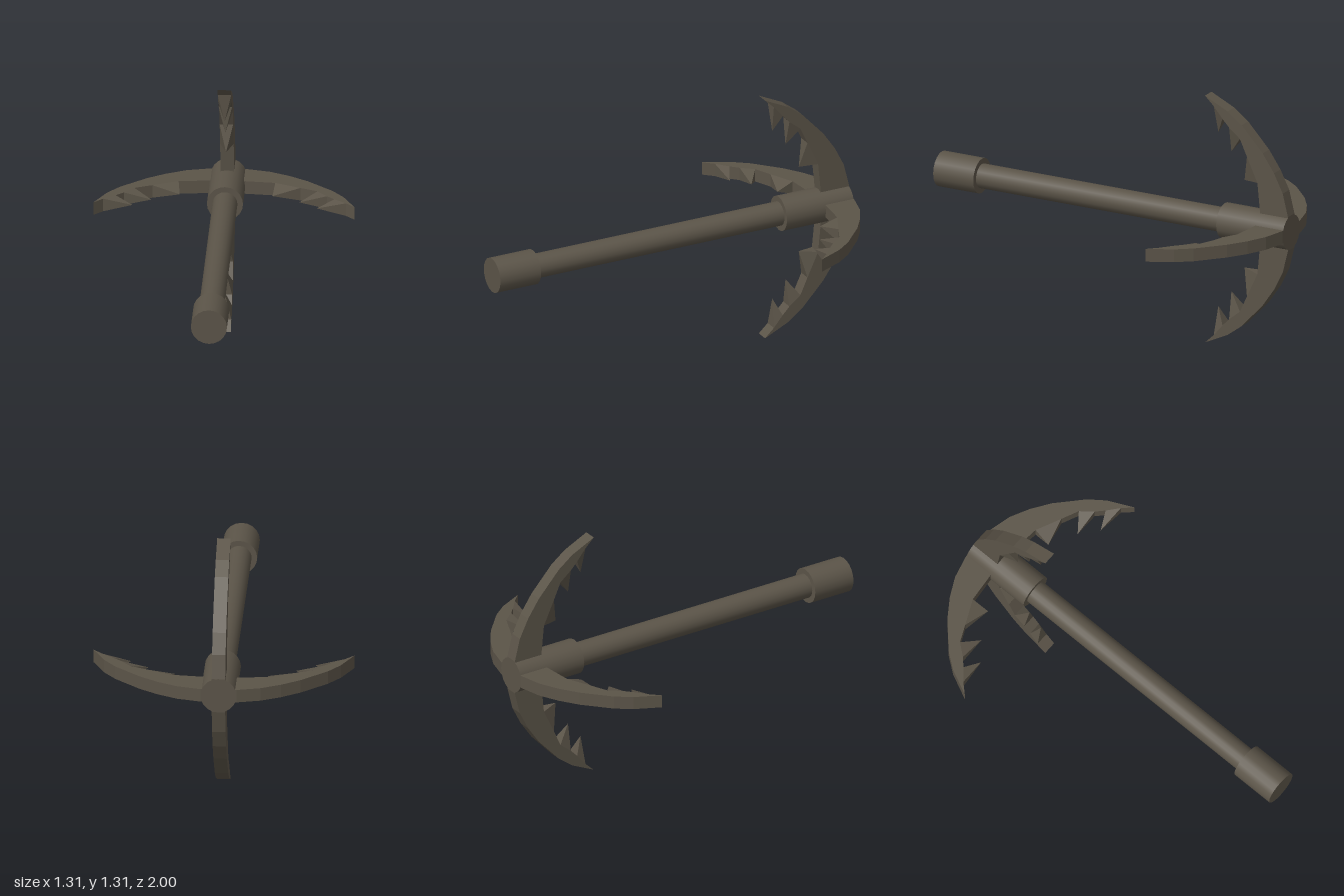
import * as THREE from 'three';

const HALF_WIDTH = 0.034;
const AXIS_HEIGHT = 0.657;

// Profiles are [distance from the shaft axis, z]
const OUTER = [[0, -1], [0.09, -1], [0.21, -0.97], [0.31, -0.92], [0.405, -0.855],
  [0.535, -0.735], [0.595, -0.655], [0.657, -0.525]];
const INNER = [[0.61, -0.575], [0.55, -0.625], [0.51, -0.663], [0.46, -0.725],
  [0.372, -0.765], [0.243, -0.825], [0.09, -0.84], [0, -0.84]];

// Barbs: inner base, outer base, point
const BARBS = [
  [[0.243, -0.825], [0.372, -0.765], [0.233, -0.733]],
  [[0.46, -0.725], [0.51, -0.663], [0.372, -0.658]],
  [[0.55, -0.625], [0.61, -0.575], [0.463, -0.583]],
];

// Four-sided pyramid whose point lies on the middle plane of the arm
function barbGeometry([a, b, tip]) {
  const w = HALF_WIDTH;
  const base = [[a[0], -w, a[1]], [b[0], -w, b[1]], [b[0], w, b[1]], [a[0], w, a[1]]];
  const apex = [tip[0], 0, tip[1]];
  const points = [];
  base.forEach((p, i) => points.push(...p, ...base[(i + 1) % 4], ...apex));
  const geometry = new THREE.BufferGeometry();
  geometry.setAttribute('position', new THREE.Float32BufferAttribute(points, 3));
  geometry.computeVertexNormals();
  return geometry;
}

export function createModel() {
  const model = new THREE.Group();
  model.name = 'grapplingHook';
  const metal = new THREE.MeshStandardMaterial({ color: 0x5b5448 });

  function add(parent, name, geometry) {
    const mesh = new THREE.Mesh(geometry, metal);
    mesh.name = name;
    parent.add(mesh);
    return mesh;
  }

  // Shaft, hub and handle end share one axis along z
  function rod(name, radius, z0, z1) {
    const geometry = new THREE.CylinderGeometry(radius, radius, z1 - z0, 20);
    geometry.rotateX(Math.PI / 2);
    add(model, name, geometry).position.set(0, AXIS_HEIGHT, (z0 + z1) / 2);
  }
  rod('shaft', 0.063, -0.7, 0.85);
  rod('hub', 0.091, -1, -0.62);
  rod('handleEnd', 0.091, 0.77, 1);

  // Curved arm blade, extruded across its width
  const shape = new THREE.Shape([...OUTER, ...INNER].map(([r, z]) => new THREE.Vector2(r, z)));
  const blade = new THREE.ExtrudeGeometry(shape, { depth: HALF_WIDTH * 2, bevelEnabled: false });
  blade.translate(0, 0, -HALF_WIDTH);
  blade.rotateX(Math.PI / 2);
  const barbs = BARBS.map(barbGeometry);

  // Four barbed arms around the hub
  for (let i = 0; i < 4; i++) {
    const arm = new THREE.Group();
    arm.name = 'arm' + (i + 1);
    arm.position.y = AXIS_HEIGHT;
    arm.rotation.z = i * Math.PI / 2;
    add(arm, 'blade', blade);
    barbs.forEach((geometry, j) => add(arm, 'barb' + (j + 1), geometry));
    model.add(arm);
  }
  return model;
}
